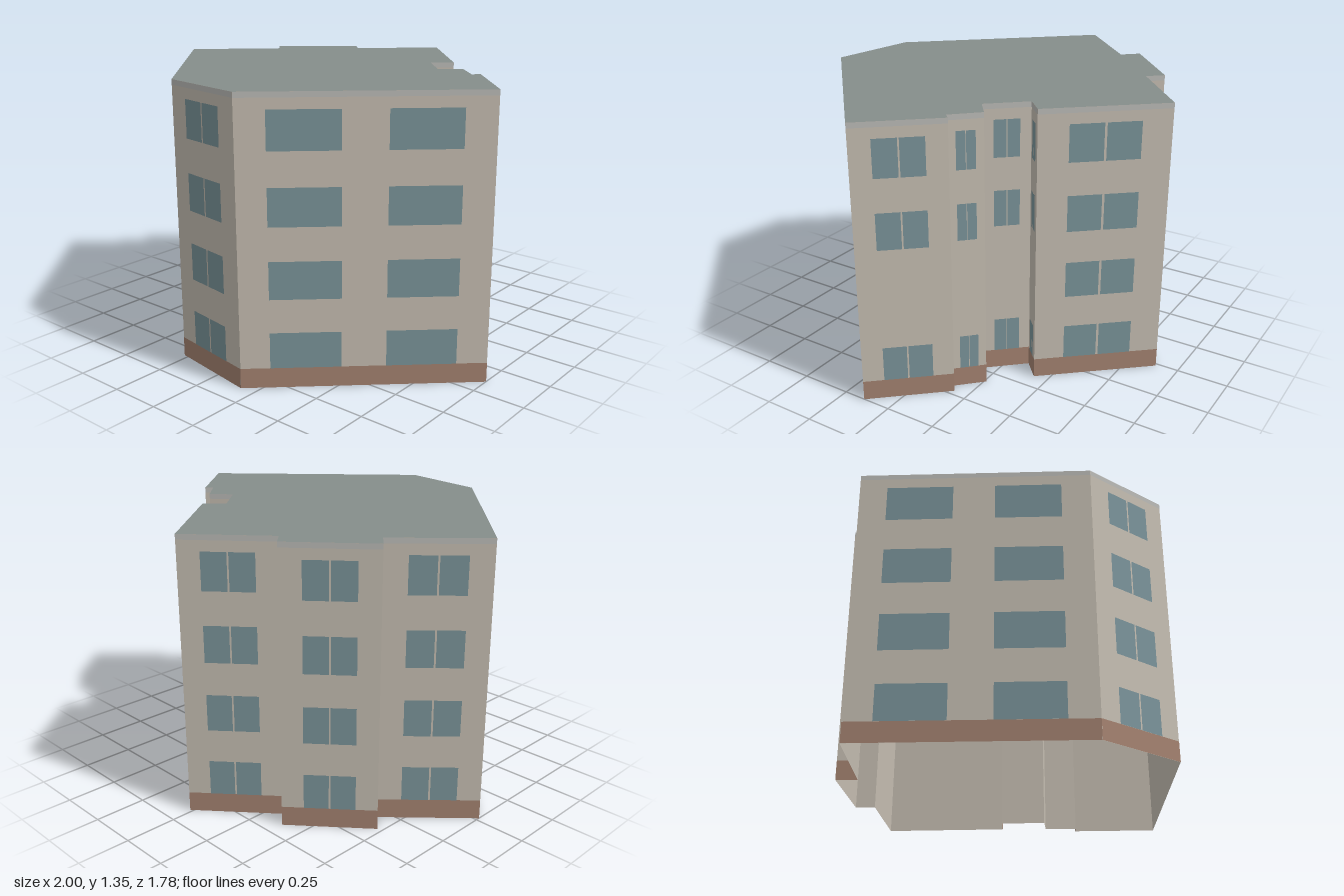
import * as THREE from 'three';
import { mergeGeometries } from 'three/addons/utils/BufferGeometryUtils.js';

const HEIGHT = 1.345, PLINTH = 0.095, FASCIA = 1.32;

// Floor plan corners (x, z), running left to right as seen from outside
const PLAN = [
  [-1, 0.02], [-0.275, 0.82], [0.175, 0.89], [1, 0.14], [0.72, -0.175],
  [0.69, -0.145], [0.575, -0.26], [0.48, -0.185], [0.33, -0.35], [0.415, -0.43],
  [0.015, -0.89], [-0.325, -0.6], [-0.39, -0.67], [-0.725, -0.385], [-0.655, -0.31],
];

// Sill and head heights of each storey's windows
const STOREYS = [[PLINTH, 0.265], [0.423, 0.6], [0.757, 0.933], [1.092, 1.27]];
const ALL = [0, 1, 2, 3], STAIR = [0, 2, 3];

// Window layout by wall index: wide pairs, or a casement split by a mullion
const WINDOWS = {
  0: ['wide', ALL], 1: ['split', ALL], 2: ['wide', ALL],
  3: ['split', STAIR], 5: ['split', STAIR], 6: ['split', STAIR],
  7: ['split', STAIR], 8: ['split', STAIR],
  9: ['split', ALL], 10: ['split', ALL], 12: ['split', ALL], 14: ['split', ALL],
};
const SPANS = {
  wide: [[0.12, 0.407], [0.587, 0.873]],
  split: [[0.232, 0.492], [0.51, 0.77]],
};

// Flat panel on wall i, from fraction t0 to t1 along it, between y0 and y1
function panel(i, t0, t1, y0, y1, offset = 0) {
  const [ax, az] = PLAN[i], [bx, bz] = PLAN[(i + 1) % PLAN.length];
  const dx = bx - ax, dz = bz - az, len = Math.hypot(dx, dz), t = (t0 + t1) / 2;
  const g = new THREE.PlaneGeometry(len * (t1 - t0), y1 - y0);
  g.rotateY(Math.atan2(-dz, dx));
  g.translate(ax + dx * t - (dz / len) * offset, (y0 + y1) / 2, az + dz * t + (dx / len) * offset);
  return g;
}

// Continuous horizontal band around the whole plan
const band = (y0, y1, offset) => mergeGeometries(PLAN.map((_, i) => panel(i, 0, 1, y0, y1, offset)));

export function createModel() {
  const building = new THREE.Group();
  building.name = 'apartmentBuilding';
  const add = (name, geometry, color, side = THREE.FrontSide, parent = building) => {
    const mesh = new THREE.Mesh(geometry, new THREE.MeshStandardMaterial({ color, side }));
    mesh.name = name;
    parent.add(mesh);
  };

  // Open-bottomed shell with its base and roof-edge bands
  add('walls', band(0, HEIGHT, 0), 0xc8c0b4, THREE.DoubleSide);
  add('brickPlinth', band(0, PLINTH, 0.001), 0xa68472);
  add('roofFascia', band(FASCIA, HEIGHT, 0.001), 0xbebeba);

  // Flat roof
  const outline = new THREE.Shape(PLAN.map(([x, z]) => new THREE.Vector2(x, -z)));
  const roof = new THREE.ShapeGeometry(outline).rotateX(-Math.PI / 2).translate(0, HEIGHT, 0);
  add('roof', roof, 0x868e8b, THREE.DoubleSide);

  // Windows, one mesh per storey
  const windows = new THREE.Group();
  windows.name = 'windows';
  building.add(windows);
  STOREYS.forEach(([sill, head], s) => {
    const panes = [];
    for (const [wall, [kind, storeys]] of Object.entries(WINDOWS)) {
      if (!storeys.includes(s)) continue;
      for (const [t0, t1] of SPANS[kind]) panes.push(panel(Number(wall), t0, t1, sill, head, 0.002));
    }
    add(`windowsStorey${s + 1}`, mergeGeometries(panes), 0x7c969c, THREE.FrontSide, windows);
  });

  return building;
}
